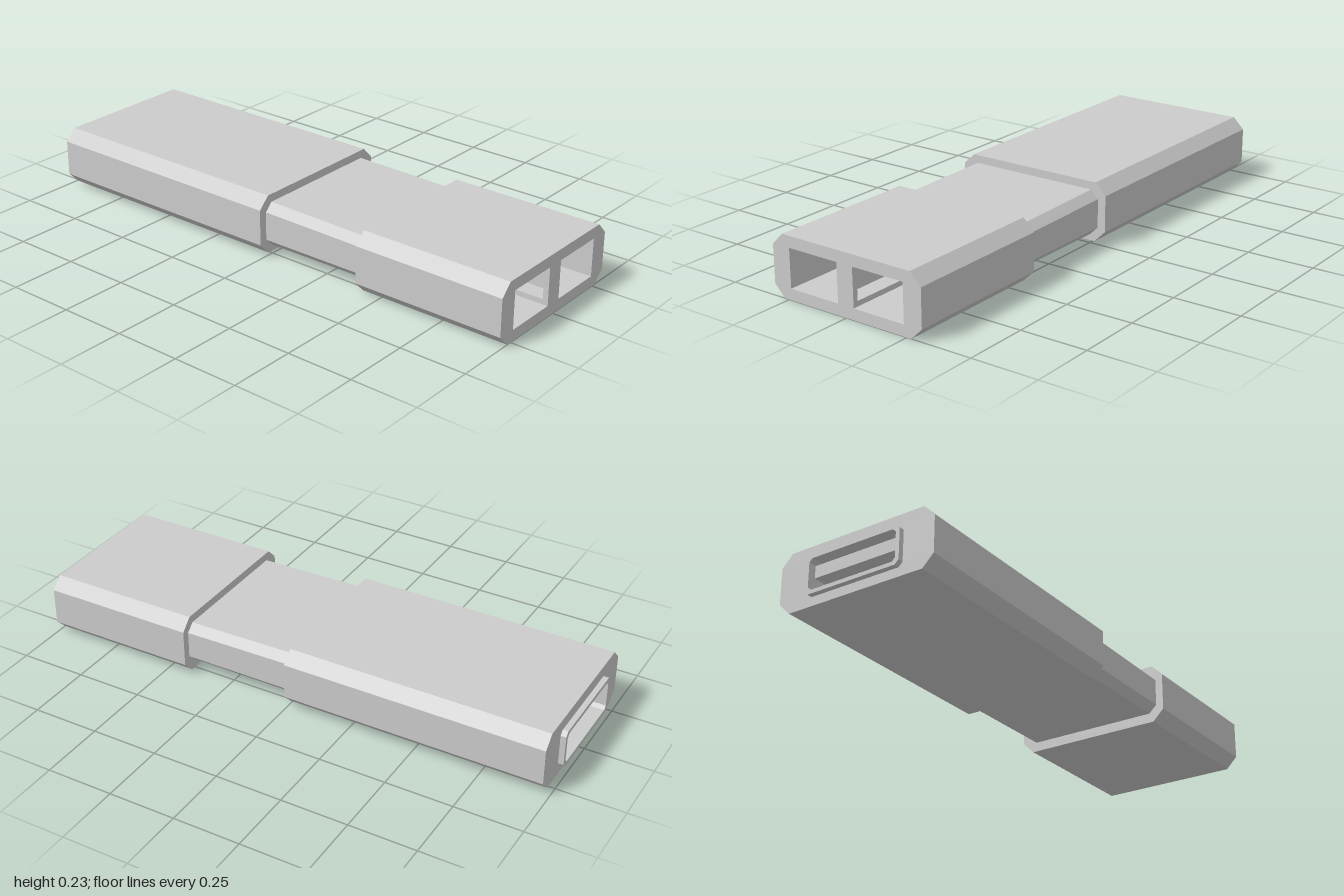
import * as THREE from 'three';

const material = new THREE.MeshStandardMaterial({ color: 0xcccccc, flatShading: true });

// Corner points of a rectangle with chamfered corners, in the z-y plane
function chamfered(halfZ, y0, y1, c) {
  const pts = [
    [-halfZ + c, y0], [halfZ - c, y0], [halfZ, y0 + c], [halfZ, y1 - c],
    [halfZ - c, y1], [-halfZ + c, y1], [-halfZ, y1 - c], [-halfZ, y0 + c],
  ];
  return pts.map(([x, y]) => new THREE.Vector2(x, y));
}

function rectangle(x0, x1, y0, y1) {
  return [[x0, y0], [x1, y0], [x1, y1], [x0, y1]].map(([x, y]) => new THREE.Vector2(x, y));
}

// Extrudes a profile along x, from x0 to x1, with an optional hole through it
function prism(name, outline, x0, x1, hole) {
  const shape = new THREE.Shape(outline);
  if (hole) shape.holes.push(new THREE.Path(hole));
  const geometry = new THREE.ExtrudeGeometry(shape, { depth: x1 - x0, bevelEnabled: false });
  geometry.rotateY(Math.PI / 2);
  geometry.translate(x0, 0, 0);
  const mesh = new THREE.Mesh(geometry, material);
  mesh.name = name;
  return mesh;
}

export function createModel() {
  const model = new THREE.Group();
  model.name = 'connector';

  // Long body with a socket sunk into its end
  const body = new THREE.Group();
  body.name = 'body';
  const bodyOutline = chamfered(0.313, 0.01, 0.23, 0.043);
  const socket = chamfered(0.177, 0.057, 0.172, 0.012);
  body.add(
    prism('bodyFront', bodyOutline, -0.98, -0.6, socket),
    prism('bodyRear', bodyOutline, -0.6, 0),
    prism('socketRim', chamfered(0.192, 0.043, 0.186, 0.015), -1, -0.98, socket),
    prism('socketTongue', rectangle(-0.177, 0.177, 0.115, 0.16), -0.97, -0.6),
  );

  // Slightly tapering neck
  const neck = prism('neck', chamfered(0.282, 0.034, 0.2, 0.03), 0, 0.42);
  const p = neck.geometry.attributes.position;
  for (let i = 0; i < p.count; i++) {
    if (p.getX(i) > 0.2) p.setY(i, 0.115 + (p.getY(i) - 0.117) * 0.95);
  }
  neck.geometry.computeVertexNormals();

  // Cap with two pockets, separated by a divider with a window
  const cap = new THREE.Group();
  cap.name = 'cap';
  const capOutline = chamfered(0.311, 0, 0.225, 0.043);
  cap.add(
    prism('capRear', capOutline, 0.42, 0.5),
    prism('capFront', capOutline, 0.5, 1, rectangle(-0.239, 0.239, 0.041, 0.183)),
  );
  const wall = new THREE.Shape(rectangle(0.5, 1, 0.041, 0.183));
  wall.holes.push(new THREE.Path(rectangle(0.75, 0.98, 0.06, 0.1)));
  const divider = new THREE.Mesh(
    new THREE.ExtrudeGeometry(wall, { depth: 0.066, bevelEnabled: false }), material);
  divider.name = 'divider';
  divider.position.z = -0.032;
  cap.add(divider);

  model.add(body, neck, cap);
  return model;
}
